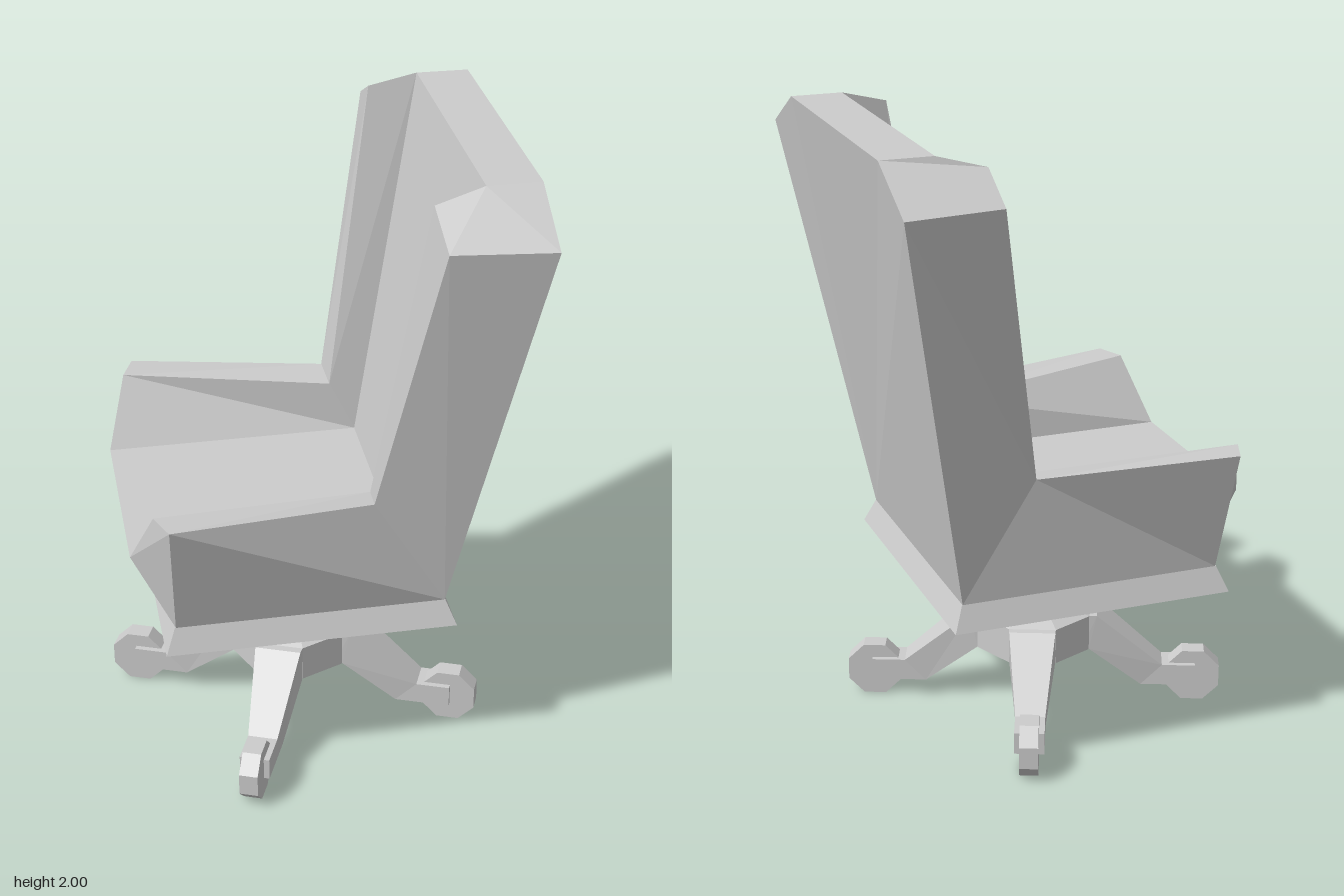
import * as THREE from 'three';

const mat = new THREE.MeshStandardMaterial({ color: 0xcccccc, flatShading: true });

function mesh(name, geo, x = 0, y = 0, z = 0) {
  const m = new THREE.Mesh(geo, mat);
  m.name = name;
  m.position.set(x, y, z);
  return m;
}

// Flat-shaded geometry from polygons (corners counter-clockwise seen from outside)
function polygons(faces) {
  const pos = [];
  for (const f of faces)
    for (let i = 1; i < f.length - 1; i++) pos.push(...f[0], ...f[i], ...f[i + 1]);
  const g = new THREE.BufferGeometry();
  g.setAttribute('position', new THREE.Float32BufferAttribute(pos, 3));
  g.computeVertexNormals();
  return g;
}

const flip = ([x, y, z]) => [-x, y, z];
const mirrored = (faces) => [...faces, ...faces.map((f) => f.map(flip).reverse())];

// Corners of the left half of the upholstery
const bottomOuter = [0.443, 0.6, 0.6], bottomInner = [0.35, 0.6, 0.6], bottomBack = [0.443, 0.6, -0.245];
const seatFront = [0.33, 0.8, 0.72], seatBack = [0.33, 0.8, -0.104];
const armOuter = [0.552, 1.01, 0.617], armInner = [0.457, 1.01, 0.654];
const jointOuter = [0.46, 0.985, -0.015], jointInner = [0.353, 0.965, -0.023];
const wingOuter = [0.642, 1.88, -0.182], wingInner = [0.478, 1.96, -0.175];
const panelTop = [0.46, 2, -0.327], backTop = [0.458, 2, -0.493], backCorner = [0.68, 1.88, -0.49];

// A panel spanning both halves, from its left-hand bottom and top corners
const across = (low, high) => [flip(low), low, high, flip(high)];

function leg() {
  const g = new THREE.Group();
  g.name = 'leg';
  // Sloping arm lofted through [top radius, top y, bottom radius, bottom y, half width]
  const rings = [
    [0.16, 0.32, 0.16, 0.2, 0.077],
    [0.21, 0.32, 0.185, 0.2, 0.075],
    [0.43, 0.132, 0.36, 0.06, 0.048],
    [0.54, 0.132, 0.54, 0.06, 0.048],
  ].map(([rt, yt, rb, yb, w]) => [[rb, yb, w], [rt, yt, w], [rt, yt, -w], [rb, yb, -w]]);
  const faces = [];
  for (let i = 0; i < 3; i++)
    for (let k = 0; k < 4; k++) {
      const n = (k + 1) % 4;
      faces.push([rings[i][k], rings[i + 1][k], rings[i + 1][n], rings[i][n]]);
    }
  faces.push([...rings[3]].reverse());
  g.add(mesh('legArm', polygons(faces)));
  // Octagonal caster wheel
  const wheel = new THREE.CylinderGeometry(0.095, 0.095, 0.06, 8);
  wheel.rotateY(Math.PI / 8).rotateX(Math.PI / 2);
  g.add(mesh('casterWheel', wheel, 0.533, 0.088, 0));
  return g;
}

export function createModel() {
  const model = new THREE.Group();
  model.name = 'officeChair';
  const chair = new THREE.Group();
  chair.name = 'turnedChair';
  chair.rotation.y = -0.7025;
  model.add(chair);

  // Upholstery
  const body = new THREE.Group();
  body.name = 'upholstery';
  body.position.x = -0.008;
  chair.add(body);
  body.add(mesh('seatCushion', polygons([across(seatFront, seatBack), across(bottomInner, seatFront)])));
  body.add(mesh('armrests', polygons(mirrored([
    [armOuter, bottomOuter, bottomBack, jointOuter],
    [seatFront, bottomInner, bottomOuter, armOuter, armInner],
    [armOuter, jointOuter, jointInner, armInner],
    [seatFront, armInner, jointInner, seatBack],
  ]))));
  body.add(mesh('wings', polygons(mirrored([
    [bottomBack, backCorner, wingOuter, jointOuter],
    [jointInner, jointOuter, wingOuter, wingInner],
    [seatBack, jointInner, wingInner, panelTop],
    [panelTop, wingInner, wingOuter, backCorner, backTop],
  ]))));
  body.add(mesh('backrest', polygons([
    across(seatBack, panelTop),
    across(panelTop, backTop),
    [bottomBack, flip(bottomBack), flip(backCorner), flip(backTop), backTop, backCorner],
  ])));

  // Flared plate under the seat
  const plate = new THREE.CylinderGeometry(0.93 * Math.SQRT2, Math.SQRT2, 0.08, 4);
  plate.rotateY(Math.PI / 4).scale(0.476, 1, 0.457);
  body.add(mesh('seatPlate', plate, 0, 0.56, 0.178));

  // Pedestal and four-legged base
  const base = new THREE.Group();
  base.name = 'base';
  base.position.set(0.026, 0, 0.173);
  chair.add(base);
  base.add(mesh('pedestal', new THREE.CylinderGeometry(0.12, 0.12, 0.2, 8), 0, 0.43, 0));
  base.add(mesh('hub', new THREE.CylinderGeometry(0.2, 0.2, 0.12, 8), 0, 0.26, 0));
  base.add(mesh('hubCap', new THREE.CylinderGeometry(0.14, 0.2, 0.025, 8), 0, 0.3325, 0));
  for (let i = 0; i < 4; i++) {
    const l = leg();
    l.rotation.y = -Math.PI / 8 - (i * Math.PI) / 2;
    base.add(l);
  }
  return model;
}
